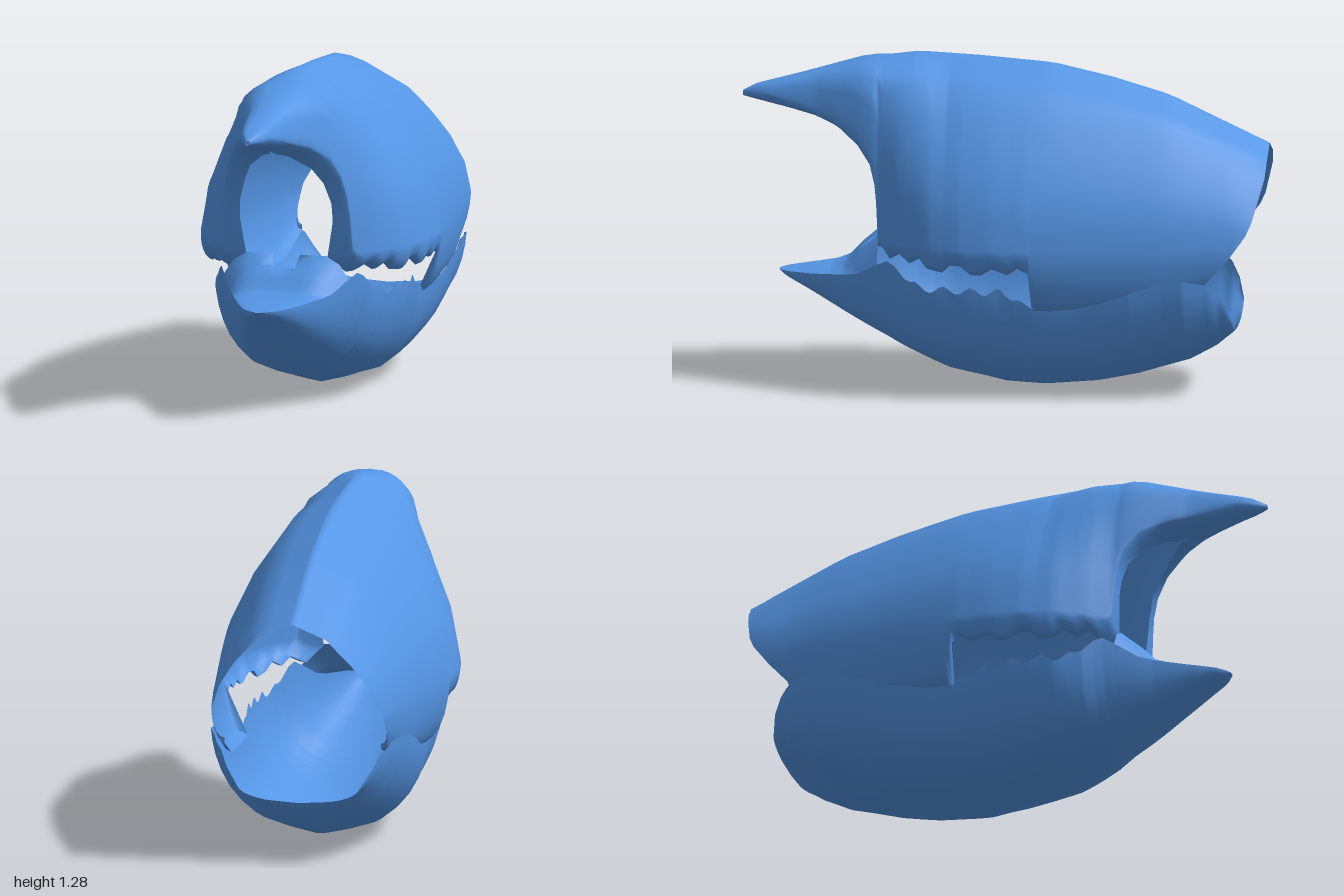
import * as THREE from 'three';

// Piecewise-linear lookup in a list of [position, value] pairs (ascending)
function at(list, p) {
  if (p <= list[0][0]) return list[0][1];
  for (let i = 1; i < list.length; i++) {
    const [a, va] = list[i - 1], [b, vb] = list[i];
    if (p <= b) return va + (vb - va) * (p - a) / (b - a);
  }
  return list[list.length - 1][1];
}

// Skin rows of points (all rows equally long) with smooth normals
function loft(name, rows, material) {
  const n = rows[0].length, pos = rows.flat(2), index = [];
  for (let j = 0; j < rows.length - 1; j++)
    for (let i = 0; i < n - 1; i++) {
      const a = j * n + i, b = a + 1, c = a + n, d = c + 1;
      index.push(a, c, b, b, c, d);
    }
  const g = new THREE.BufferGeometry();
  g.setAttribute('position', new THREE.Float32BufferAttribute(pos, 3));
  g.setIndex(index);
  g.computeVertexNormals();
  const mesh = new THREE.Mesh(g, material);
  mesh.name = name;
  return mesh;
}

// Mirror a half section (from the centre line outwards) into a full one
const mirror = half => [...half.slice(1).reverse().map(([x, y, z]) => [-x, y, z]), ...half];

// Even stations along z plus the exact positions used in some lists
function stations(from, to, count, ...lists) {
  const zs = lists.flat().map(p => p[0]).filter(z => z >= from && z <= to);
  for (let i = 0; i <= count; i++) zs.push(from + (to - from) * i / count);
  return [...new Set(zs.map(z => +z.toFixed(3)))].sort((a, b) => a - b);
}

// Upper shell: ridge height, half width and the height at which that width is reached
const ridge = [[-1, .95], [-.62, 1.13], [-.4, 1.195], [-.18, 1.245], [.1, 1.268], [.33, 1.28], [.55, 1.25],
  [.8, 1.18], [.97, 1.135], [1, 1.115]];
const width = [[-1, .31], [-.95, .315], [-.9, .33], [-.78, .35], [-.6, .38], [-.3, .42], [-.1, .443], [.03, .445],
  [.15, .43], [.27, .395], [.38, .33], [.465, .262], [.55, .215], [.65, .155], [.72, .115], [.8, .085], [.9, .06],
  [.97, .035], [1, .01]];
const widest = [[.45, .6], [.48, .63], [.55, .75], [.65, .92], [.8, 1.08], [.9, 1.105], [1, 1.105]];
// Where the side starts to curl in, the lower edge itself and its half width
const curl = [[.45, .6], [.465, .62], [.472, .75], [.48, .83], [.5, .9], [.55, .98], [.65, 1.04], [.8, 1.085],
  [.9, 1.108], [1, 1.106]];
const edge = [[-1, .46], [-.78, .44], [-.6, .37], [-.3, .345], [-.13, .35], [-.12, .51], [-.08, .53], [-.04, .505],
  [.02, .525], [.06, .5], [.1, .5], [.14, .53], [.18, .53], [.21, .5], [.27, .51], [.3, .545], [.34, .52],
  [.38, .55], [.42, .52], [.465, .58], [.472, .72], [.48, .79], [.5, .87], [.55, .935], [.62, .99], [.72, 1.03],
  [1, 1.095]];
const edgeWidth = [[-1, .29], [-.8, .3], [-.6, .31], [-.3, .325], [-.13, .34], [-.12, .415], [.1, .4], [.27, .345],
  [.38, .27], [.465, .16], [.472, .183], [.48, .18], [.5, .155], [.55, .12], [.62, .05], [.66, 0], [1, 0]];
const rearLimit = [[.46, -.78], [.56, -.87], [.67, -.95], [.86, -1]];
const archX = [[0, 1], [.28, .92], [.56, .72], [.84, .43], [1, 0]];
// The ridged arch turns into a full, round one towards the beak
const roundness = [[.22, 1], [.5, .38], [1, .42]];

function upperSection(z0) {
  const half = [];
  const top = at(ridge, z0), mid = at(widest, z0), turn = at(curl, z0), low = at(edge, z0);
  const side = (y, z) => at(width, z) * at(archX, (y - mid) / (top - mid)) ** at(roundness, z);
  for (const v of [1, .985, .95, .9, .84, .7, .56, .42, .28, .14, 0]) {
    const y = turn + (top - turn) * v, z = Math.max(z0, at(rearLimit, y));
    half.push([side(y, z), y, z]);
  }
  for (let i = 1; i <= 5; i++) {
    const a = i / 5 * Math.PI / 2, y = turn + (low - turn) * Math.sin(a), z = Math.max(z0, at(rearLimit, y));
    const r = at(edgeWidth, z);
    half.push([r + (side(turn, z) - r) * Math.cos(a), y, z]);
  }
  return mirror(half);
}

// Lower jaw: keel height, rim height, half width
const keel = [[-.88, .24], [-.86, .215], [-.8, .165], [-.7, .11], [-.5, .05], [-.35, .02], [-.15, .003], [0, .012],
  [.2, .06], [.4, .155], [.6, .27], [.75, .36], [.84, .41], [.86, .428]];
const rim = [[-.88, .3], [-.86, .37], [-.83, .425], [-.78, .465], [-.7, .482], [-.62, .472], [-.5, .435], [-.4, .395],
  [-.3, .37], [-.2, .357], [-.13, .365], [-.07, .405], [0, .425], [.3, .43], [.36, .46], [.4, .505], [.43, .52],
  [.47, .5], [.55, .455], [.6, .445], [.72, .435], [.86, .43]];
const jawWidth = [[-.88, .235], [-.86, .28], [-.8, .33], [-.7, .37], [-.5, .38], [-.3, .365], [-.1, .36], [.1, .36],
  [.25, .345], [.36, .305], [.47, .245], [.6, .175], [.75, .105], [.83, .06], [.86, .015]];
const bowl = [[0, 0], [.27, .06], [.53, .14], [.68, .26], [.8, .4], [.89, .56], [.95, .72], [.985, .87], [1, 1]];
// The bowl gets squarer towards the chin
const fullness = [[0, 1], [.5, .65]];
const tooth = z => z > -.08 && z < .34 ? .015 * Math.cos(z * 60) : 0;

function jawSection(z) {
  const low = at(keel, z), high = at(rim, z), w = at(jawWidth, z), f = at(fullness, z);
  return mirror(bowl.map(([u, v]) => [w * u ** f, low + (high - low) * v + (v === 1 ? tooth(z) : 0), z]));
}

// Mouth floor: rises from the jaw tip to a notched plate
const rise = [[.47, .585], [.5, .56], [.55, .52], [.6, .47], [.65, .45], [.86, .43]];
function floorSection(z) {
  const w = at(jawWidth, z), crest = at(rise, z), drop = at(rim, z) - crest;
  const notch = Math.max(0, 1 - (z - .47) / .06) * -.055;
  return mirror([[0, notch], [.2, notch], [.22, 0], [.45, 0], [.64, 0], [.85, drop * .35], [1, drop]]
    .map(([u, dy]) => [w * u, crest + dy, z]));
}

export function createModel() {
  const material = new THREE.MeshStandardMaterial({ color: 0x5596e6, side: THREE.DoubleSide });
  const model = new THREE.Group();
  model.name = 'beakedHelmet';

  model.add(loft('upperShell', stations(-1, 1, 40, edge).map(upperSection), material));

  const jaw = new THREE.Group();
  jaw.name = 'lowerJaw';
  jaw.add(loft('jawBowl', stations(-.88, .86, 90, rim).map(jawSection).reverse(), material));
  jaw.add(loft('mouthFloor', stations(.47, .86, 8, rise, rim).map(floorSection), material));
  model.add(jaw);
  return model;
}
